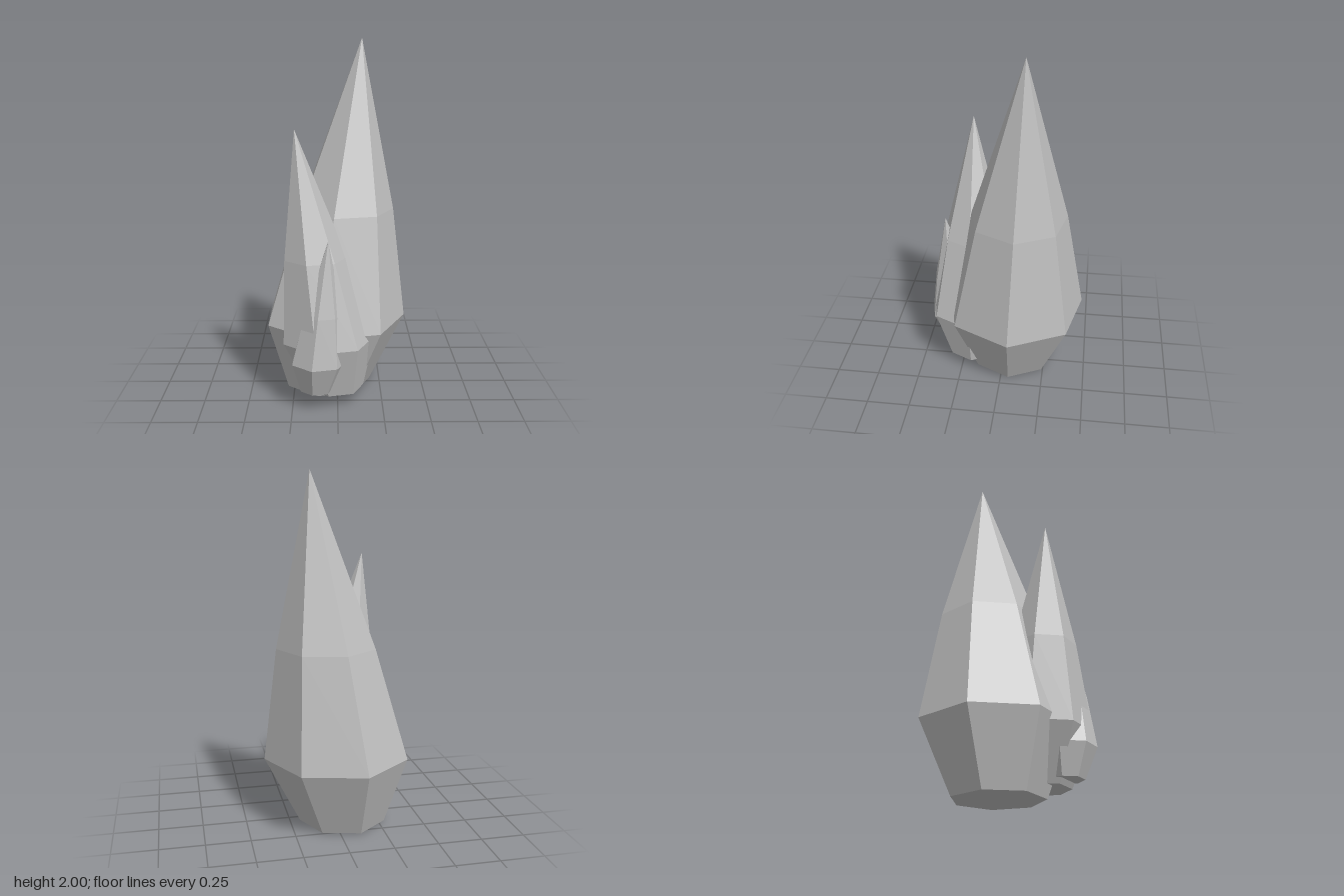
import * as THREE from 'three';

const SIDES = 7;

// Leaning faceted spire: narrow foot, wide belly, slimmer shoulder, sharp tip.
// foot and tip are [x, y, z]; radius is that of the belly.
function crystal(name, foot, tip, radius, material) {
  const height = tip[1] - foot[1];
  const profile = [
    [0, 0],
    [0.605, 0],
    [1, 0.2],
    [0.675, 0.52],
    [0, 1],
  ].map(([r, t]) => new THREE.Vector2(r * radius, t * height));

  const lathe = new THREE.LatheGeometry(profile, SIDES, Math.PI / 2);
  // Shear the upright spire so its axis runs from foot to tip
  lathe.applyMatrix4(new THREE.Matrix4().makeShear(
    0, 0, (tip[0] - foot[0]) / height, (tip[2] - foot[2]) / height, 0, 0,
  ));
  const geometry = lathe.toNonIndexed();
  geometry.computeVertexNormals();

  const mesh = new THREE.Mesh(geometry, material);
  mesh.name = name;
  mesh.position.set(...foot);
  return mesh;
}

export function createModel() {
  const group = new THREE.Group();
  group.name = 'crystalCluster';

  const stone = new THREE.MeshStandardMaterial({ color: 0xc0c0c0 });
  stone.name = 'greyStone';
  stone.flatShading = true;

  group.add(
    crystal('largeCrystal', [-0.06, 0, -0.045], [0.138, 2, -0.125], 0.415, stone),
    crystal('mediumCrystal', [-0.014, 0.07, 0.188], [-0.23, 1.53, 0.2], 0.265, stone),
    crystal('smallCrystal', [-0.116, 0.1, 0.3], [-0.05, 0.96, 0.35], 0.16, stone),
  );
  return group;
}
